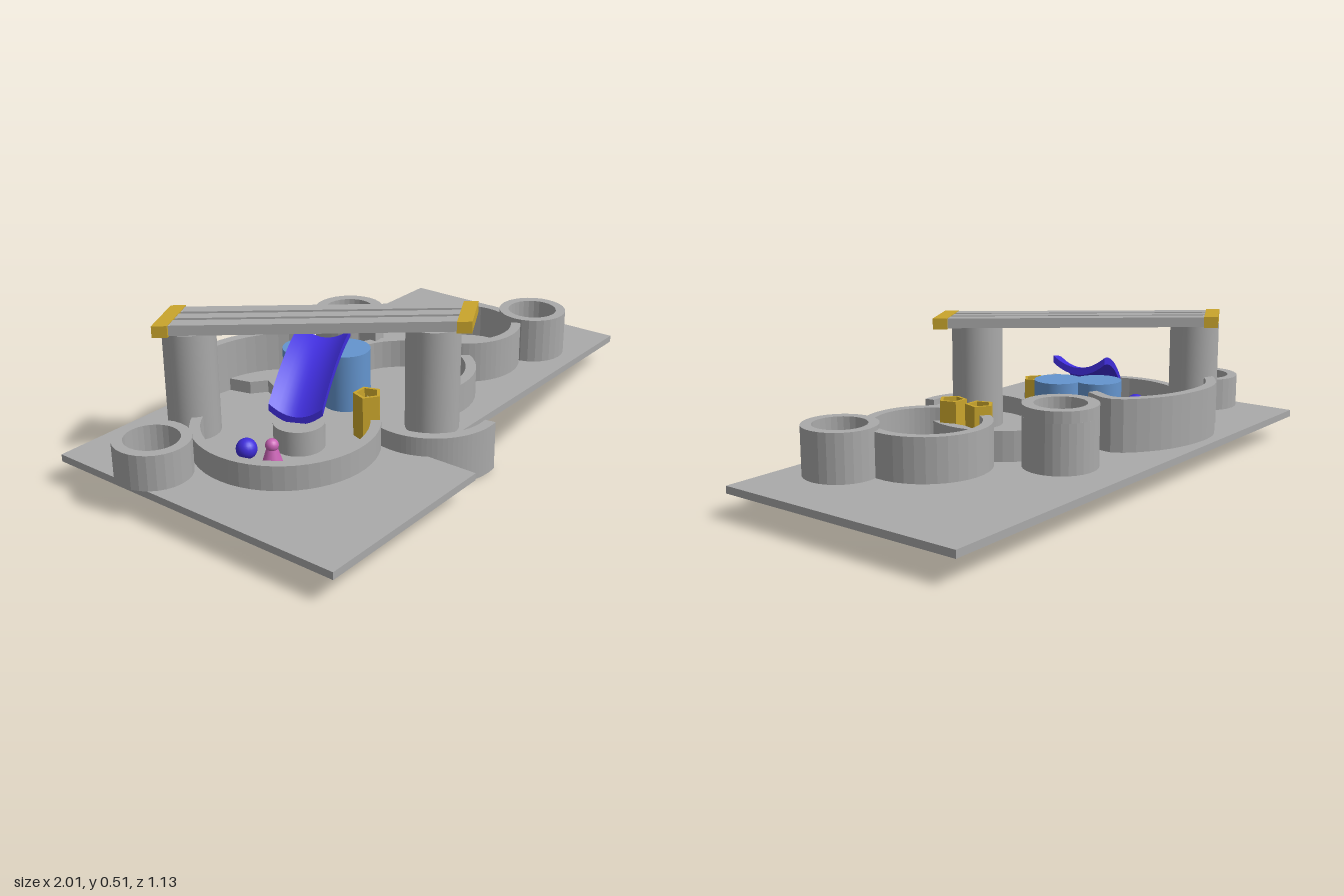
import * as THREE from 'three';

const mat = (name, color, side = THREE.FrontSide) => {
  const m = new THREE.MeshStandardMaterial({ color, side });
  m.name = name;
  return m;
};

export function createModel() {
  const model = new THREE.Group();
  const grey = mat('stone grey', 0xaaaaaa);
  const gold = mat('gold', 0xc9a52c);
  const blue = mat('light blue', 0x6495cf);
  const violet = mat('violet blue', 0x3f2ddb);
  const pink = mat('pink', 0xc862b4);
  const FLOOR = 0.105, PI = Math.PI;

  const add = (name, geo, m, x = 0, y = 0, z = 0) => {
    const mesh = new THREE.Mesh(geo, m);
    mesh.name = name;
    mesh.position.set(x, y, z);
    model.add(mesh);
    return mesh;
  };
  // Upright prism from a plan outline given as [x, z] points
  const prism = (name, pts, y0, y1, m, hole) => {
    const v = a => a.map(p => new THREE.Vector2(p[0], p[1]));
    const shape = new THREE.Shape(v(pts));
    if (hole) shape.holes.push(new THREE.Path(v(hole)));
    const g = new THREE.ExtrudeGeometry(shape, { depth: y1 - y0, bevelEnabled: false });
    g.rotateX(PI / 2);
    return add(name, g, m, 0, y1, 0);
  };
  const arc = (x, z, r, a0, a1, n = 28) => Array.from({ length: n + 1 }, (_, i) => {
    const a = a0 + (a1 - a0) * i / n;
    return [x + r * Math.cos(a), z + r * Math.sin(a)];
  });
  const circle = (x, z, r, n = 28, a0 = 0) => arc(x, z, r, a0, a0 + 2 * PI, n).slice(0, n);
  const sector = (name, x, z, r0, r1, a0, a1, y0, y1, m, n) =>
    prism(name, [...arc(x, z, r1, a0, a1, n), ...arc(x, z, r0, a1, a0, n)], y0, y1, m);
  const tube = (name, x, z, r0, r1, y0, y1, m, n = 28, a0 = 0) =>
    prism(name, circle(x, z, r1, n, a0), y0, y1, m, circle(x, z, r0, n, a0));
  const post = (name, x, z, r, y0, y1, m, n = 32) =>
    add(name, new THREE.CylinderGeometry(r, r, y1 - y0, n), m, x, (y0 + y1) / 2, z);

  // Ground slab with a notch; the underside is one plain four-cornered face
  const outline = [[-0.98, -0.565], [1, -0.565], [1, 0.365], [-0.28, 0.365], [-0.28, 0.565], [-0.98, 0.565]];
  const inner = [-0.98, 0.365], pos = [];
  const quad = (a, b, c, d) => [a, b, c, a, c, d].forEach(p => pos.push(...p));
  const at = (p, y) => [p[0], y, p[1]];
  outline.forEach((a, i) => {
    const b = outline[(i + 1) % 6];
    quad(at(a, FLOOR), at(b, FLOOR), at(b, 0.08), at(a, 0.08));
  });
  quad(...[0, 1, 2, 5].map(i => at(outline[i], 0.08)));
  quad(...[inner, outline[2], outline[1], outline[0]].map(p => at(p, FLOOR)));
  quad(...[outline[5], outline[4], outline[3], inner].map(p => at(p, FLOOR)));
  const slab = new THREE.BufferGeometry();
  slab.setAttribute('position', new THREE.Float32BufferAttribute(pos, 3));
  slab.computeVertexNormals();
  add('groundSlab', slab, grey);

  // Round towers; the back one has a doorway
  tube('leftTower', -0.88, -0.24, 0.09, 0.125, FLOOR, 0.225, grey);
  tube('rightTower', 0.69, 0.18, 0.09, 0.125, FLOOR, 0.27, grey);
  tube('backTowerTop', 0.19, -0.315, 0.088, 0.127, 0.275, 0.315, grey);
  sector('backTowerBase', 0.19, -0.315, 0.088, 0.127, 2.2, 1.6 + 2 * PI, FLOOR, 0.275, grey);

  // Curved enclosure walls
  sector('leftWall', -0.49, -0.035, 0.275, 0.31, 0.9, 4.2, FLOOR, 0.19, grey);
  sector('middleWall', 0.07, 0.02, 0.225, 0.262, -2.3, 1.85, FLOOR, 0.21, grey);
  sector('rightWallFront', 0.45, 0.025, 0.178, 0.213, 0.95, 2.75, FLOOR, 0.255, grey, 18);
  sector('rightWallBack', 0.45, 0.025, 0.178, 0.213, 3.6, 2 * PI + 0.3, FLOOR, 0.255, grey, 18);

  // Tall back wall following a bent path
  const path = new THREE.CatmullRomCurve3(
    [[-0.61, -0.38], [-0.54, -0.45], [-0.45, -0.5], [-0.33, -0.505], [-0.18, -0.46], [-0.06, -0.35], [-0.1, -0.24]]
      .map(p => new THREE.Vector3(p[0], 0, p[1])));
  const offset = d => path.getPoints(24).map((p, i) => {
    const t = path.getTangent(i / 24);
    return [p.x - t.z * d, p.z + t.x * d];
  });
  prism('backWall', [...offset(-0.018), ...offset(0.018).reverse()], FLOOR, 0.29, grey);
  prism('backTerrace', [[-0.29, -0.48], [-0.18, -0.45], [-0.08, -0.35], [-0.11, -0.27], [-0.2, -0.25],
    [-0.25, -0.3], [-0.22, -0.36], [-0.27, -0.4]], FLOOR, 0.15, grey);

  // Raised ring floor with steps in the right enclosure
  tube('rightFloor', 0.45, 0.045, 0.085, 0.17, FLOOR, 0.14, grey);
  for (let i = 0; i < 3; i++) {
    const a = 1.25 + i * 0.28;
    sector('rightStep', 0.45, 0.045, 0.086, 0.165, a, a + 0.28, 0.12, 0.19 - i * 0.015, grey, 4);
  }

  // Sunken spiral bay around the front post
  sector('bayWall', -0.085, 0.262, 0.192, 0.23, 1.42, 3.5, 0, 0.17, grey);
  for (let i = 0; i < 5; i++) {
    const a = 1.45 + i * 0.38;
    sector('bayStep', -0.085, 0.262, 0.08, 0.195, a, a + 0.38, 0, 0.02 + i * 0.02, grey, 5);
  }

  // Bridge posts and the round plinth
  post('frontPost', -0.085, 0.26, 0.092, 0.008, 0.475, grey);
  post('backPost', -0.59, -0.353, 0.088, FLOOR, 0.475, grey);
  post('plinth', -0.465, 0, 0.085, FLOOR, 0.19, grey);

  // Skewed bridge: thin deck, three rails and gold end caps
  const P = (t, s) => [-0.635 + 0.635 * t + 0.155 * s, -0.415 + 0.77 * t - 0.08 * s];
  const bar = (name, t0, t1, s0, s1, y0, y1, m) =>
    prism(name, [P(t0, s0), P(t1, s0), P(t1, s1), P(t0, s1)], y0, y1, m);
  bar('bridgeDeck', 0.04, 0.96, -0.48, 0.48, 0.475, 0.488, grey);
  [[-0.5, -0.22], [-0.12, 0.12], [0.22, 0.5]].forEach(([a, b]) =>
    bar('bridgeRail', 0.04, 0.96, a, b, 0.475, 0.51, grey));
  bar('bridgeCapBack', -0.01, 0.04, -0.55, 0.55, 0.472, 0.512, gold);
  bar('bridgeCapFront', 0.96, 1.01, -0.55, 0.55, 0.472, 0.512, gold);

  // Paired blue columns
  post('blueColumnBack', -0.19, -0.2, 0.083, FLOOR, 0.31, blue);
  post('blueColumnFront', -0.115, -0.085, 0.085, FLOOR, 0.31, blue);

  // Tilted trough: a slab bent up along both long edges
  const trough = new THREE.BoxGeometry(1, 1, 1, 14, 1, 12);
  const tp = trough.attributes.position;
  for (let i = 0; i < tp.count; i++) {
    const u = tp.getX(i), v = tp.getZ(i), k = tp.getY(i);
    tp.setXYZ(i,
      -0.32 + 0.32 * u + 0.075 * v,
      0.272 + 0.14 * u + 0.16 * v * v - 0.1 * u * u + 0.02 + k * 0.025,
      -0.07 - 0.14 * u + 0.165 * v);
  }
  trough.computeVertexNormals();
  add('trough', trough, violet);

  // Hollow five-sided gold turrets with small grey spikes
  [[0.265, -0.04, -1, 0.285], [0.265, 0.08, 1, 0.285], [-0.275, 0.135, 1, 0.26]].forEach(([x, z, dir, top]) => {
    const a = dir * PI / 2;
    tube('turret', x, z, 0.037, 0.049, FLOOR, top, gold, 5, a);
    prism('turretFloor', circle(x, z, 0.038, 5, a), FLOOR, top - 0.05, gold);
    const spike = add('turretSpike', new THREE.ConeGeometry(0.027, 0.04, 3), grey, x, top - 0.03, z);
    spike.rotation.y = dir > 0 ? 0 : PI;
  });

  // Small playing pieces
  add('violetPiece', new THREE.SphereGeometry(0.035, 20, 14), violet, -0.625, FLOOR + 0.025, -0.085);
  add('pinkPieceBody', new THREE.CylinderGeometry(0.018, 0.035, 0.055, 20), pink, -0.615, FLOOR + 0.0275, 0.017);
  add('pinkPieceHead', new THREE.SphereGeometry(0.022, 18, 12), pink, -0.615, FLOOR + 0.065, 0.017);

  return model;
}
